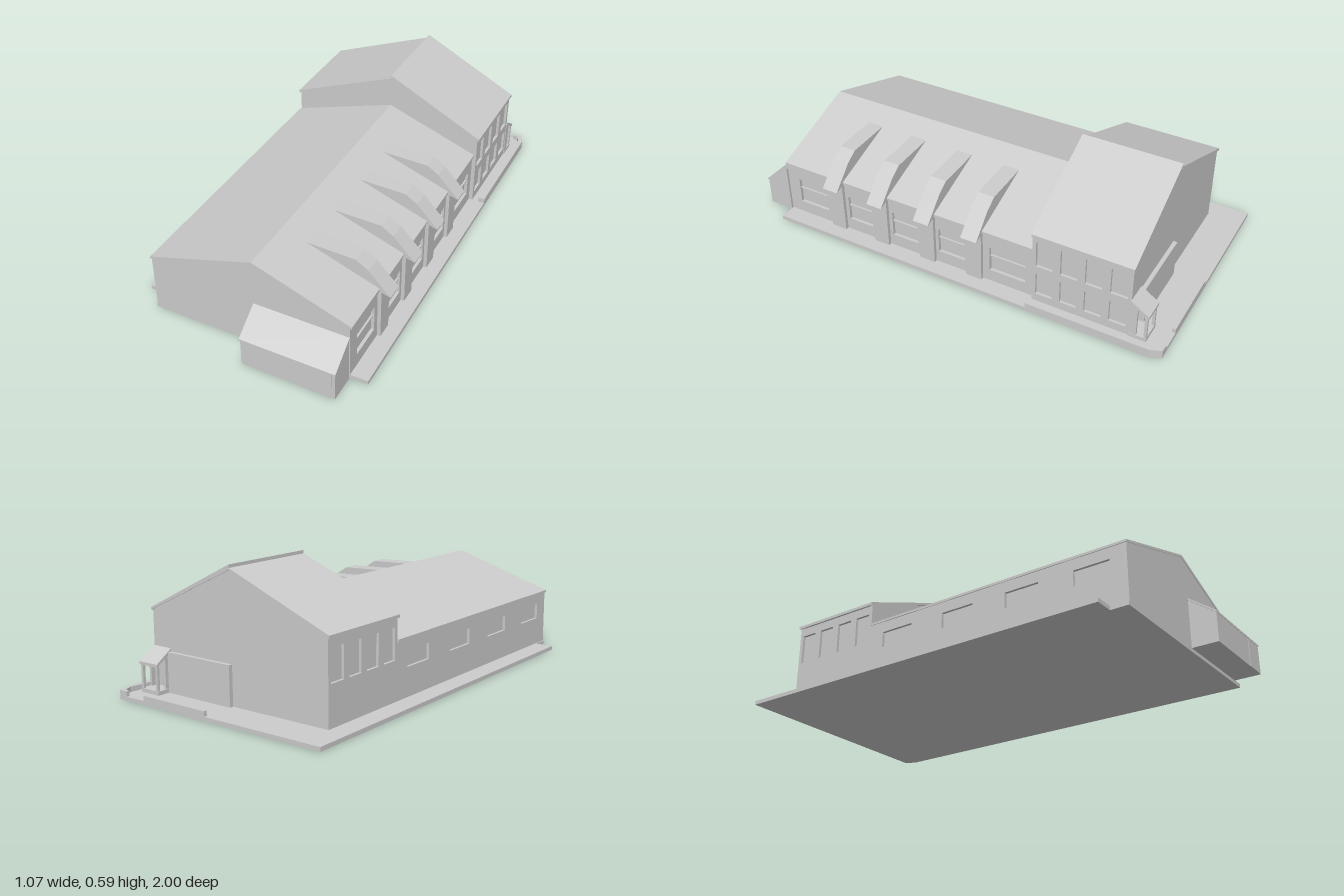
import * as THREE from 'three';

const material = new THREE.MeshStandardMaterial({ color: 0xcccccc, flatShading: true });

const toShape = (pts) => new THREE.Shape(pts.map(([x, y]) => new THREE.Vector2(x, y)));
const extrude = (shape, depth) => new THREE.ExtrudeGeometry(shape, { depth, bevelEnabled: false });

export function createModel() {
  const model = new THREE.Group();
  model.name = 'hall';

  const add = (name, geometry) => {
    const mesh = new THREE.Mesh(geometry, material);
    mesh.name = name;
    model.add(mesh);
    return mesh;
  };
  const box = (name, x0, x1, y0, y1, z0, z1) =>
    add(name, new THREE.BoxGeometry(x1 - x0, y1 - y0, z1 - z0)
      .translate((x0 + x1) / 2, (y0 + y1) / 2, (z0 + z1) / 2));
  // Profile of [x, y] points swept along z
  const prismZ = (name, pts, z0, z1) =>
    add(name, extrude(toShape(pts), z1 - z0).translate(0, 0, z0));
  // Profile of [z, y] points swept along x, with optional [z0, z1, y0, y1] openings
  const prismX = (name, pts, x0, x1, openings = []) => {
    const shape = toShape(pts.map(([z, y]) => [-z, y]));
    for (const [z0, z1, y0, y1] of openings) {
      shape.holes.push(toShape([[-z0, y0], [-z0, y1], [-z1, y1], [-z1, y0]]));
    }
    return add(name, extrude(shape, x1 - x0).rotateY(Math.PI / 2).translate(x0, 0, 0));
  };
  // Plan of [x, z] points raised along y
  const prismY = (name, pts, y0, y1) =>
    add(name, extrude(toShape(pts.map(([x, z]) => [x, -z])), y1 - y0)
      .rotateX(-Math.PI / 2).translate(0, y0, 0));
  const rect = (a0, a1, b0, b1) => [[a0, b0], [a1, b0], [a1, b1], [a0, b1]];

  // Ground slab with a notch at the front and a clipped back corner
  prismY('groundSlab', [[-0.54, -1], [0.51, -1], [0.53, -0.95], [0.53, 0.87],
    [-0.455, 0.87], [-0.455, 0.79], [-0.54, 0.79]], 0, 0.018);

  // Low hall: core, then side skins with window openings
  const ridge = 0.03;
  const base = 0.01;
  prismZ('hallBody', [[-0.438, base], [0.438, base], [0.438, 0.268], [ridge, 0.413], [-0.438, 0.268]], -0.41, 0.865);
  prismZ('hallGable', [[-0.45, base], [0.452, base], [0.452, 0.266], [ridge, 0.417], [-0.45, 0.266]], 0.855, 0.87);
  const finCentres = [0.59, 0.355, 0.115, -0.12];
  const bays = [[0.655, 0.81], [0.41, 0.535], [0.17, 0.3], [-0.068, 0.062], [-0.36, -0.19]];
  prismX('hallRightWall', rect(-0.4, 0.87, base, 0.265), 0.438, 0.452,
    bays.map(([a, b]) => [a, b, 0.075, 0.195]));
  prismX('hallLeftWall', rect(-0.4, 0.87, base, 0.265), -0.45, -0.438,
    [-0.25, 0.075, 0.395, 0.715].map((z) => [z - 0.08, z + 0.08, 0.145, 0.215]));
  bays.forEach(([a, b]) => box('windowBar', 0.437, 0.447, 0.145, 0.151, a, b));
  prismZ('hallRoof', [[-0.456, 0.262], [-0.456, 0.273], [ridge, 0.427], [0.46, 0.273],
    [0.46, 0.262], [ridge, 0.415]], -0.4, 0.872);

  // Piers with bent fins rising over the roof
  for (const z of finCentres) {
    box('pier', 0.445, 0.468, base, 0.26, z - 0.0375, z + 0.0375);
    prismZ('roofFin', [[0.135, 0.388], [0.355, 0.381], [0.41, 0.346], [0.508, 0.244],
      [0.468, 0.255], [0.44, 0.262], [0.135, 0.37]], z - 0.038, z + 0.038);
  }

  // Tall rear block
  prismZ('towerBody', [[-0.438, base], [0.458, base], [0.458, 0.362], [ridge, 0.57], [-0.438, 0.362]], -0.838, -0.402);
  for (const [z0, z1] of [[-0.84, -0.828], [-0.412, -0.4]]) {
    prismZ('towerGable', [[-0.45, base], [0.47, base], [0.47, 0.357], [ridge, 0.568], [-0.45, 0.368]], z0, z1);
  }
  const columns = [-0.455, -0.565, -0.675, -0.785];
  prismX('towerRightWall', rect(-0.84, -0.4, base, 0.358), 0.458, 0.47,
    columns.flatMap((z) => [[z - 0.038, z + 0.038, 0.2, 0.325], [z - 0.038, z + 0.038, 0.055, 0.16]]));
  prismX('towerLeftWall', rect(-0.84, -0.4, base, 0.364), -0.45, -0.438,
    columns.map((z) => [z - 0.038, z + 0.038, 0.19, 0.325]));
  prismZ('towerLeftRoof', [[-0.46, 0.363], [-0.46, 0.376], [ridge, 0.572], [ridge, 0.56]], -0.845, -0.398);
  prismZ('towerRightRoof', [[ridge, 0.565], [ridge, 0.586], [0.478, 0.363], [0.478, 0.352]], -0.845, -0.398);

  // Front lean-to with a door in its face
  prismX('leanTo', [[0.88, 0.005], [0.997, 0.005], [0.997, 0.135], [0.88, 0.222]], 0.038, 0.452);
  prismX('leanToRoof', [[0.88, 0.217], [0.88, 0.227], [1, 0.139], [1, 0.13]], 0.034, 0.455);
  box('leanToDoor', 0.345, 0.437, 0.005, 0.13, 0.99, 0.999);

  // Rear porch and screen wall
  prismX('porchRoof', [[-0.835, 0.19], [-0.835, 0.206], [-0.92, 0.15], [-0.92, 0.137]], 0.373, 0.476);
  for (const x of [0.378, 0.462]) {
    box('porchPost', x, x + 0.011, 0.015, 0.147, -0.915, -0.903);
    prismX('porchSide', [[-0.835, 0.015], [-0.87, 0.015], [-0.87, 0.175], [-0.835, 0.197]], x, x + 0.011);
  }
  box('porchStep', 0.375, 0.475, 0.015, 0.035, -0.915, -0.838);
  box('screenWall', 0.03, 0.375, 0.015, 0.19, -0.858, -0.838);

  // Low kerb walls round the rear yard
  box('rearKerb', 0.03, 0.37, 0.015, 0.04, -1, -0.985);
  prismY('sideKerb', [[0.5, -0.4], [0.53, -0.4], [0.53, -0.95], [0.51, -1], [0.47, -1],
    [0.47, -0.985], [0.495, -0.982], [0.51, -0.945], [0.5, -0.85]], 0.015, 0.04);

  return model;
}
